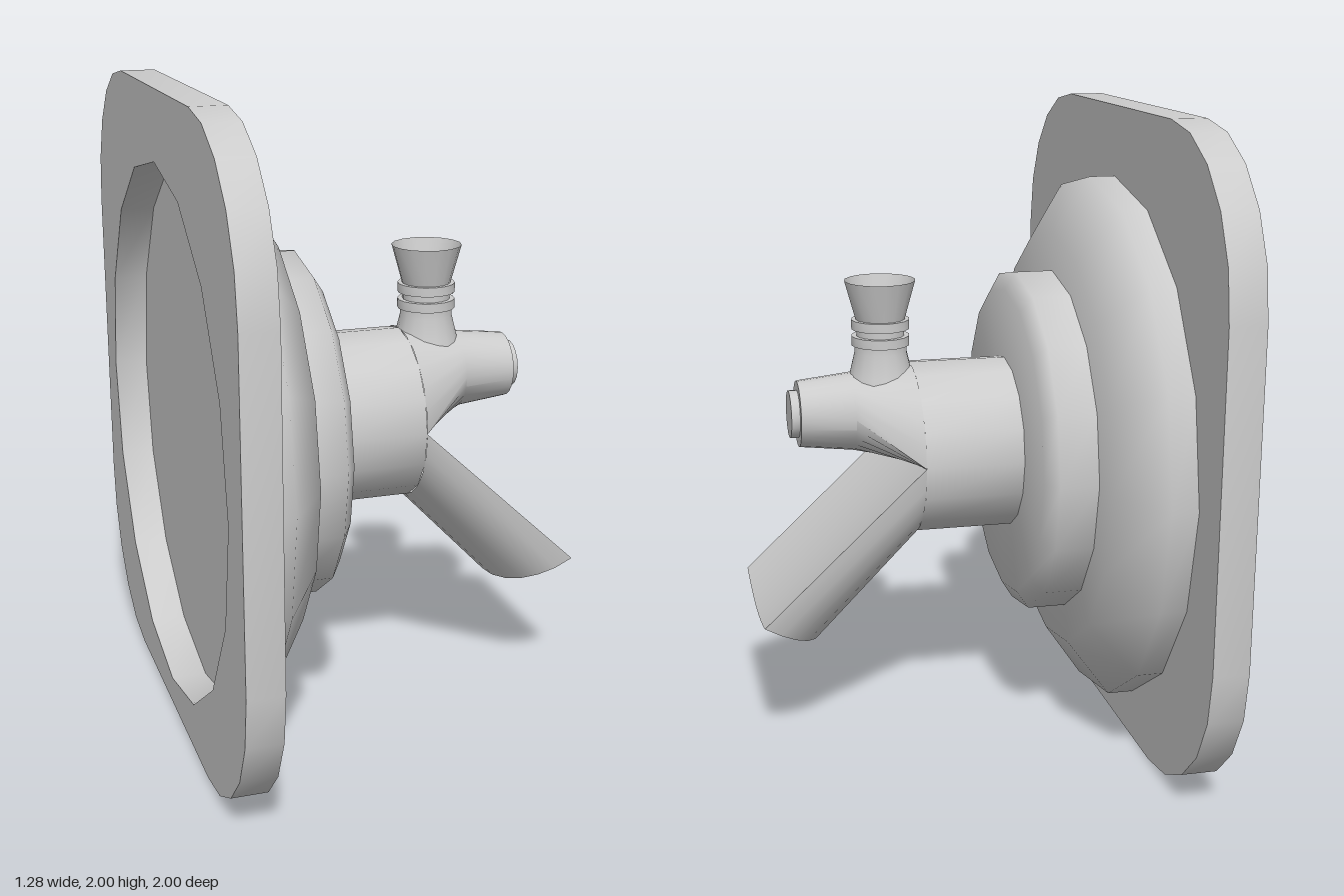
import * as THREE from 'three';
import { toCreasedNormals } from 'three/addons/utils/BufferGeometryUtils.js';

const SIDES = 16, AXIS_Y = 0.935, R = 0.275;
const material = new THREE.MeshStandardMaterial({ color: 0xcccccc, side: THREE.DoubleSide });

function addMesh(group, name, geometry, crease = 1.05) {
  const mesh = new THREE.Mesh(toCreasedNormals(geometry, crease), material);
  mesh.name = name;
  group.add(mesh);
  return mesh;
}

// Turned part; pts are [radius, position along axis]
function turned(pts, sides = SIDES) {
  return new THREE.LatheGeometry(pts.map(p => new THREE.Vector2(p[0], p[1])), sides);
}

// Turned part whose axis points along +x at height y
function turnedX(pts, y = AXIS_Y, sides = SIDES) {
  return turned(pts, sides).rotateZ(-Math.PI / 2).translate(0, y, 0);
}

// Skin through a list of cross-sections with equal point counts
function loft(rings) {
  const n = rings[0].length, index = [];
  for (let i = 0; i < rings.length - 1; i++) {
    for (let j = 0; j < n - 1; j++) {
      const a = i * n + j, c = a + n;
      index.push(a, c, a + 1, a + 1, c, c + 1);
    }
  }
  const g = new THREE.BufferGeometry();
  g.setAttribute('position', new THREE.Float32BufferAttribute(rings.flat(2), 3));
  g.setIndex(index);
  return g.toNonIndexed();
}

// Samples fn(angle) over an arc
function arc(from, to, n, fn) {
  return Array.from({ length: n + 1 }, (_, i) => fn(from + (to - from) * i / n));
}

function createModel() {
  const model = new THREE.Group();
  model.name = 'wallTap';

  // Rounded square plate with a round opening
  const corners = [];
  for (let q = 0; q < 4; q++) {
    const cx = (q === 0 || q === 3) ? 0.5 : -0.5, cy = q < 2 ? 1.5 : 0.5;
    corners.push(...arc(q * Math.PI / 2, (q + 1) * Math.PI / 2, 5,
      t => new THREE.Vector2(cx + 0.5 * Math.cos(t), cy + 0.5 * Math.sin(t))));
  }
  const outline = new THREE.Shape(corners);
  outline.holes.push(new THREE.Path(arc(0, -Math.PI * 2, SIDES,
    t => new THREE.Vector2(0.845 * Math.cos(t), AXIS_Y + 0.845 * Math.sin(t))).slice(0, -1)));
  const plate = new THREE.ExtrudeGeometry(outline, { depth: 0.11, bevelEnabled: false });
  addMesh(model, 'wallPlate', plate.rotateY(Math.PI / 2).translate(-0.645, 0, 0));

  // Stepped flanges and main barrel
  addMesh(model, 'largeFlange', turnedX([[0, -0.535], [0.845, -0.535], [0.845, -0.455], [0.67, -0.335], [0, -0.335]]));
  addMesh(model, 'smallFlange', turnedX([[0.55, -0.335], [0.55, -0.215], [0.495, -0.18], [0, -0.18]]));
  addMesh(model, 'barrel', turnedX([[R, -0.18], [R, 0.13]]));

  // Nose: half-round section blending into a small tapered round
  const sag = z => 0.03 * (1 - (z / R) ** 2);
  const dSection = [
    ...arc(0, Math.PI, 12, t => [0.13, AXIS_Y + R * Math.sin(t), R * Math.cos(t)]),
    ...arc(Math.PI, 2 * Math.PI, 12, t => [0.13, AXIS_Y - sag(R * Math.cos(t)), R * Math.cos(t)]),
  ];
  const roundSection = (x, r) => [
    ...arc(0, Math.PI, 12, t => [x, 1.06 + r * Math.sin(t), r * Math.cos(t)]),
    ...arc(Math.PI, 2 * Math.PI, 12, t => [x, 1.06 + r * Math.sin(t), r * Math.cos(t)]),
  ];
  addMesh(model, 'nose', loft([dSection, roundSection(0.32, 0.124), roundSection(0.49, 0.105), roundSection(0.49, 0)]));
  addMesh(model, 'noseCap', turnedX([[0.076, 0.48], [0.076, 0.517], [0, 0.517]], 1.06));

  // Spout: half-round channel with a hollow mouth and a slightly dished top
  const lower = fn => arc(Math.PI, 2 * Math.PI, 12, t => fn(Math.cos(t), -Math.sin(t)));
  const mouth = (s, z) => [0.64 - 0.2 * s, 0.455 - 0.12 * s, z];
  const inner = lower((c, s) => mouth(0.12 + 0.76 * s, 0.21 * c));
  addMesh(model, 'spout', loft([
    lower((c, s) => [0.13, AXIS_Y - R * s, R * c]),
    lower((c, s) => mouth(s, R * c)),
    inner,
    inner.map(([x, y, z]) => [x - 0.3, y + 0.3, z]),
  ]), 0.7);
  const across = fn => arc(-R, R, 10, fn);
  addMesh(model, 'spoutTop', loft([
    across(z => [0.13, AXIS_Y - sag(z), z]),
    across(z => [0.64, 0.455 - sag(z) * 1.15, z]),
  ]));

  // Valve stem with two collars and an open flared knob
  const valve = new THREE.Group();
  valve.name = 'valve';
  valve.position.x = 0.222;
  model.add(valve);
  addMesh(valve, 'stem', turned([[0.125, 1.08], [0.1, 1.18], [0.083, 1.25], [0.083, 1.275], [0.076, 1.275], [0.076, 1.36]]));
  for (const y of [1.272, 1.324]) {
    addMesh(valve, 'collar', turned([[0.06, y], [0.092, y], [0.092, y + 0.03], [0.06, y + 0.03]]));
  }
  addMesh(valve, 'knob', turned([[0.078, 1.354], [0.112, 1.477]]));
  addMesh(valve, 'knobFloor', turned([[0.078, 1.36], [0, 1.36]]));

  return model;
}

export { createModel };
